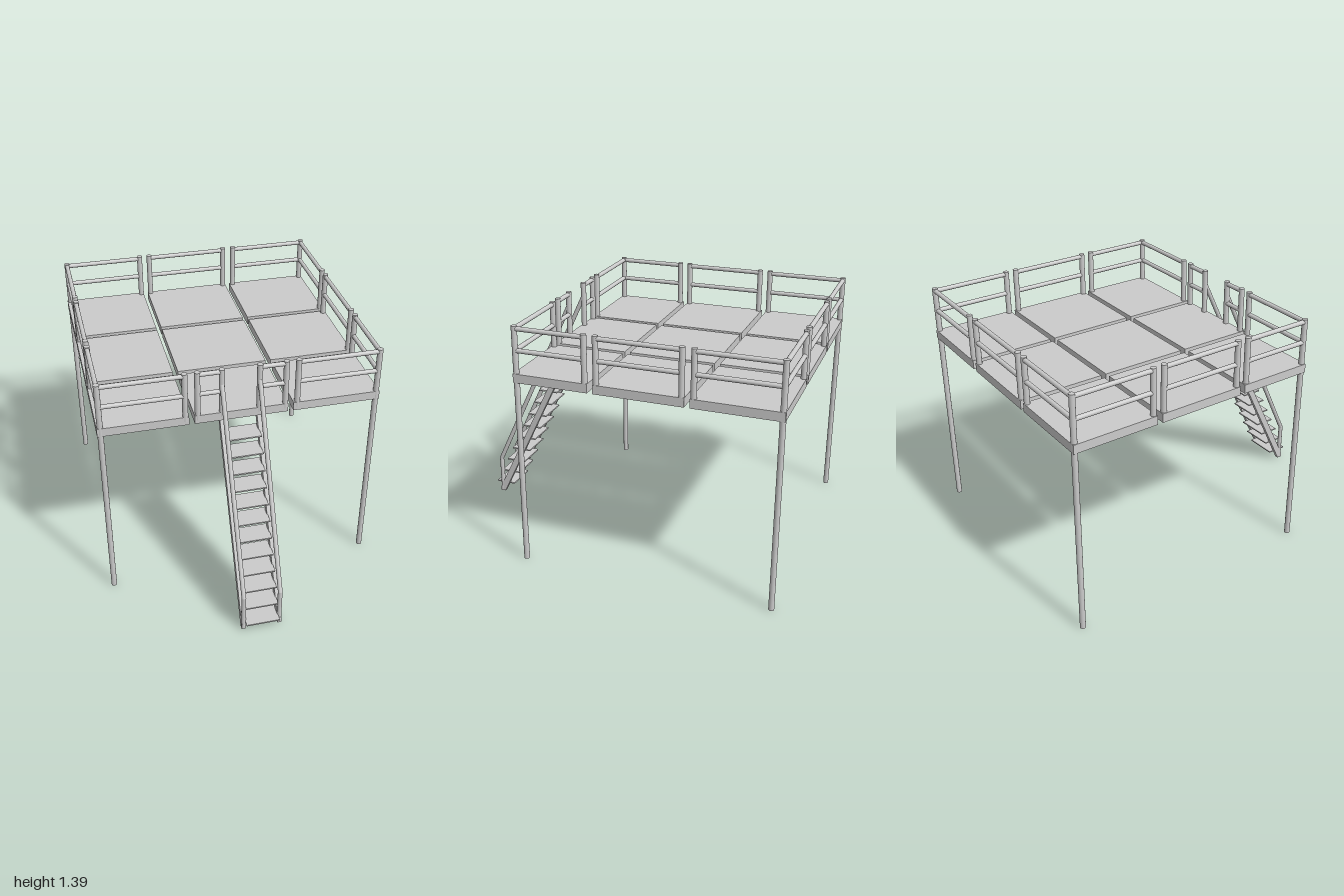
import * as THREE from 'three';

export function createModel() {
  const root = new THREE.Group();
  root.name = 'raisedPlatform';
  const mat = new THREE.MeshStandardMaterial({ color: 0xcccccc });
  const UP = new THREE.Vector3(0, 1, 0);

  const group = (name) => {
    const g = new THREE.Group();
    g.name = name;
    root.add(g);
    return g;
  };
  const box = (parent, name, x0, x1, y0, y1, z0, z1) => {
    const m = new THREE.Mesh(new THREE.BoxGeometry(x1 - x0, y1 - y0, z1 - z0), mat);
    m.position.set((x0 + x1) / 2, (y0 + y1) / 2, (z0 + z1) / 2);
    m.name = name;
    parent.add(m);
  };
  // Round bar between two points
  const bar = (parent, name, a, b, r) => {
    const p = new THREE.Vector3(...a), q = new THREE.Vector3(...b);
    const d = q.clone().sub(p);
    const m = new THREE.Mesh(new THREE.CylinderGeometry(r, r, d.length(), 16), mat);
    m.position.copy(p).add(q).multiplyScalar(0.5);
    m.quaternion.setFromUnitVectors(UP, d.normalize());
    m.name = name;
    parent.add(m);
  };

  // Nine deck panels with gaps between them
  const deck = group('deck');
  const cols = [[-0.78, -0.29], [-0.26, 0.255], [0.285, 0.777]];
  const rows = [[-1, -0.52], [-0.49, 0.003], [0.033, 0.457]];
  for (const [x0, x1] of cols)
    for (const [z0, z1] of rows) box(deck, 'deckPanel', x0, x1, 1.08, 1.13, z0, z1);

  // Corner legs run up through the deck and serve as railing posts
  const legs = group('legs');
  const X = 0.761, ZF = 0.443, ZB = -0.985, R = 0.016;
  for (const x of [-X, X])
    for (const z of [ZF, ZB]) bar(legs, 'cornerLeg', [x, 0, z], [x, 1.392, z], R);

  // Railing bay: two posts, a top rail and a middle rail
  const railings = group('railings');
  const bay = (x0, z0, x1, z1) => {
    const g = new THREE.Group();
    g.name = 'railingBay';
    railings.add(g);
    for (const [x, z] of [[x0, z0], [x1, z1]])
      if (Math.abs(x) < X || (z !== ZF && z !== ZB)) bar(g, 'railingPost', [x, 1.1, z], [x, 1.392, z], R);
    bar(g, 'topRail', [x0, 1.376, z0], [x1, 1.376, z1], 0.013);
    bar(g, 'middleRail', [x0, 1.256, z0], [x1, 1.256, z1], 0.013);
  };
  for (const s of [-1, 1]) {
    bay(s * X, ZF, s * 0.308, ZF);
    bay(s * 0.241, ZF, s * 0.103 - 0.007, ZF);
    bay(s * X, ZB, s * 0.304, ZB);
    bay(s * X, ZF, s * X, 0.052);
    bay(s * X, -0.012, s * X, -0.472);
    bay(s * X, -0.535, s * X, ZB);
  }
  bay(-0.243, ZB, 0.238, ZB);

  // Stair: flat stringers, sloping handrails and open treads
  const stair = group('stair');
  const profile = new THREE.Shape([[0.968, 0.01], [0.938, 0.01], [0.408, 1.08], [0.446, 1.08], [0.968, 0.035]]
    .map(([z, y]) => new THREE.Vector2(-z, y)));
  for (const x of [-0.11, 0.096]) {
    const geo = new THREE.ExtrudeGeometry(profile, { depth: 0.024, bevelEnabled: false });
    const stringer = new THREE.Mesh(geo.rotateY(Math.PI / 2), mat);
    stringer.position.x = x - 0.012;
    stringer.name = 'stringer';
    stair.add(stringer);
    bar(stair, 'handrailPost', [x, 0.012, 0.955], [x, 0.242, 0.955], 0.013);
    bar(stair, 'handrail', [x, 0.236, 0.957], [x, 1.3, 0.448], 0.013);
    const joint = new THREE.Mesh(new THREE.SphereGeometry(0.013, 16, 10), mat);
    joint.position.set(x, 0.24, 0.955);
    joint.name = 'handrailJoint';
    stair.add(joint);
  }
  const steps = 12;
  for (let i = 0; i < steps; i++) {
    const t = i / (steps - 1);
    const y = 0.063 + 0.937 * t, z = 0.94 - 0.457 * t;
    box(stair, 'tread', -0.102, 0.088, y - 0.004, y + 0.004, z - 0.06, z + 0.06);
  }
  return root;
}
